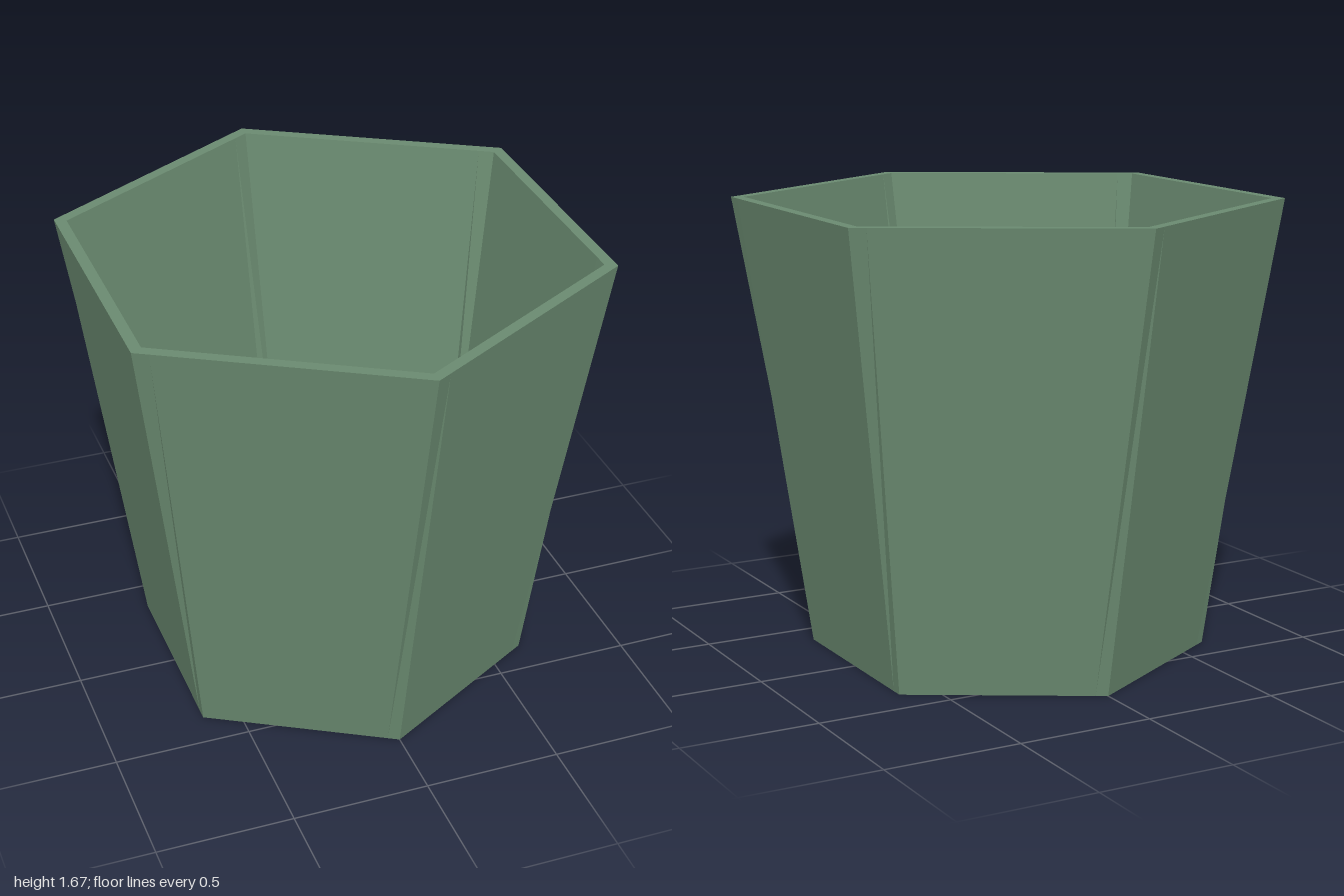
import * as THREE from 'three';

const HEIGHT = 1.67, FLOOR = 0.05, HOLE = 0.083, FOLD = 0.06;

// corner k of a hexagon, slid by a fraction along the edge to a neighbour
function corner(k, radius, y, slide = 0) {
  const at = (i) => new THREE.Vector3(
    radius * Math.sin(i * Math.PI / 3), y, radius * Math.cos(i * Math.PI / 3));
  return at(k).lerp(at(k + Math.sign(slide)), Math.abs(slide));
}

// six flat panels joined by narrow folded creases at the corners
function wallGeometry(r0, y0, r1, y1, inward) {
  const pos = [];
  const tri = (a, b, c) => {
    for (const p of inward ? [a, c, b] : [a, b, c]) pos.push(p.x, p.y, p.z);
  };
  for (let k = 0; k < 6; k++) {
    const foot = corner(k, r0, y0), footLeft = corner(k, r0, y0, -FOLD);
    const top = corner(k, r1, y1), topRight = corner(k, r1, y1, FOLD);
    const nextFoot = corner(k + 1, r0, y0, -FOLD), nextTop = corner(k + 1, r1, y1);
    tri(foot, nextFoot, nextTop);
    tri(foot, nextTop, topRight);
    tri(footLeft, foot, topRight);
    tri(footLeft, topRight, top);
  }
  const geo = new THREE.BufferGeometry();
  geo.setAttribute('position', new THREE.Float32BufferAttribute(pos, 3));
  geo.computeVertexNormals();
  return geo;
}

// flat hexagon with a hexagonal or round opening
function plateGeometry(radius, y, opening, down = false) {
  const points = (r) => Array.from({ length: 6 }, (_, k) => {
    const p = corner(k, r, 0);
    return new THREE.Vector2(p.x, p.z);
  });
  const shape = new THREE.Shape(points(radius));
  shape.holes.push(opening === HOLE
    ? new THREE.Path().absarc(0, 0, HOLE, 0, Math.PI * 2, true)
    : new THREE.Path(points(opening)));
  return new THREE.ShapeGeometry(shape, 24)
    .rotateX(down ? Math.PI / 2 : -Math.PI / 2).translate(0, y, 0);
}

export function createModel() {
  const pot = new THREE.Group();
  pot.name = 'hexagonalPlanter';
  const green = new THREE.MeshStandardMaterial({ color: 0x6a8a70, side: THREE.DoubleSide });
  green.name = 'sageGreen';
  const add = (name, geo) => {
    const mesh = new THREE.Mesh(geo, green);
    mesh.name = name;
    pot.add(mesh);
  };

  add('outerWall', wallGeometry(0.73, 0, 1, HEIGHT, false));
  add('innerWall', wallGeometry(0.69, FLOOR, 0.953, HEIGHT, true));
  add('rim', plateGeometry(1, HEIGHT, 0.953));
  add('floor', plateGeometry(0.69, FLOOR, HOLE));
  add('underside', plateGeometry(0.73, 0, HOLE, true));
  // side of the drainage hole
  add('drainHole', new THREE.CylinderGeometry(HOLE, HOLE, FLOOR, 48, 1, true)
    .translate(0, FLOOR / 2, 0));
  return pot;
}
